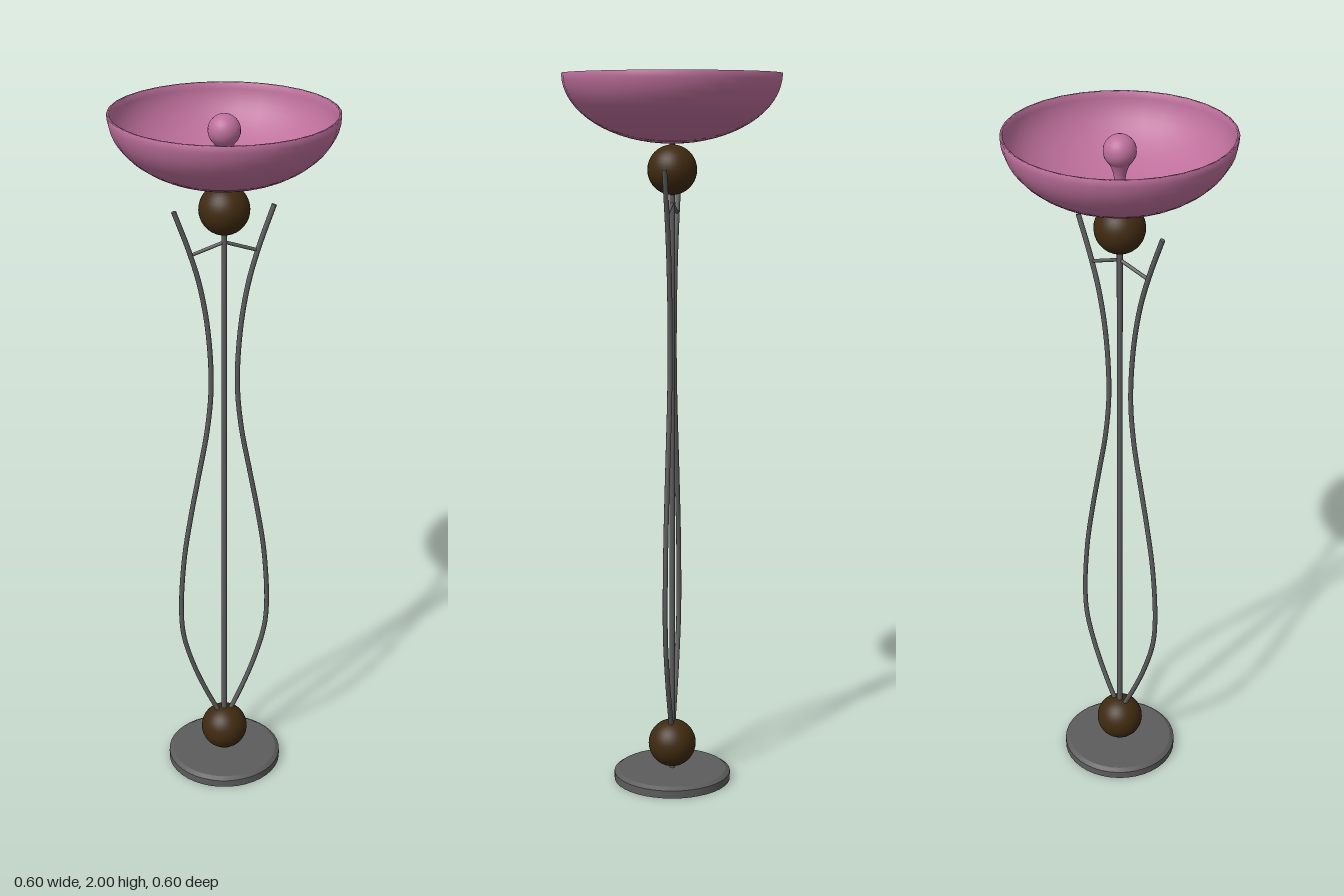
import * as THREE from 'three';

const V2 = (x, y) => new THREE.Vector2(x, y);
const V3 = (x, y, z = 0) => new THREE.Vector3(x, y, z);

export function createModel() {
  const group = new THREE.Group();
  const glass = new THREE.MeshStandardMaterial({ color: 0xbd6f9b, side: THREE.DoubleSide });
  const wood = new THREE.MeshStandardMaterial({ color: 0x3f2a10 });
  const metal = new THREE.MeshStandardMaterial({ color: 0x5c5c5c });

  const add = (name, geometry, material, y = 0) => {
    const mesh = new THREE.Mesh(geometry, material);
    mesh.name = name;
    mesh.position.y = y;
    group.add(mesh);
    return mesh;
  };

  // Disc foot with a small bevel on its upper edge
  const foot = new THREE.CylinderGeometry(0.167, 0.167, 0.022, 40);
  add('base', foot, metal, 0.011);
  add('baseBevel', new THREE.CylinderGeometry(0.155, 0.167, 0.008, 40), metal, 0.026);

  // Wooden balls at both ends of the stem
  add('lowerBall', new THREE.SphereGeometry(0.068, 32, 20), wood, 0.105);
  add('upperBall', new THREE.SphereGeometry(0.068, 32, 20), wood, 1.742);

  // Central stem, also linking foot, balls and bowl
  add('stem', new THREE.CylinderGeometry(0.008, 0.008, 1.79, 12), metal, 0.92);

  // Curved side rods and their braces, mirrored in x
  const rod = [
    [0.012, 0.15], [0.05, 0.23], [0.09, 0.33], [0.121, 0.44], [0.128, 0.53],
    [0.118, 0.7], [0.097, 0.84], [0.073, 0.97], [0.048, 1.11], [0.037, 1.24],
    [0.045, 1.4], [0.066, 1.53], [0.094, 1.63], [0.135, 1.745],
  ];
  for (const [side, s] of [['left', 1], ['right', -1]]) {
    const path = new THREE.CatmullRomCurve3(rod.map(([x, y]) => V3(s * x, y)));
    add(side + 'Rod', new THREE.TubeGeometry(path, 80, 0.007, 10), metal);
    const tip = add(side + 'RodTip', new THREE.CircleGeometry(0.007, 10), metal);
    tip.position.copy(path.getPoint(1));
    tip.lookAt(tip.position.clone().add(path.getTangent(1)));
    const brace = new THREE.LineCurve3(V3(0, 1.652), V3(s * 0.091, 1.622));
    add(side + 'Brace', new THREE.TubeGeometry(brace, 1, 0.005, 8), metal);
  }

  // Thin-walled open bowl: outer curve up, rim, inner curve down
  const profile = [];
  const steps = 16;
  for (let i = 0; i <= steps; i++) {
    const a = (i / steps) * Math.PI / 2;
    profile.push(V2(0.3 * Math.sin(a), 2 - 0.188 * Math.cos(a)));
  }
  for (let i = steps; i >= 0; i--) {
    const a = (i / steps) * Math.PI / 2;
    profile.push(V2(0.293 * Math.sin(a), 2 - 0.181 * Math.cos(a)));
  }
  add('bowl', new THREE.LatheGeometry(profile, 32), glass);

  // Bulb with a narrow neck rising from the bowl floor
  const bulb = [V2(0.014, 1.818), V2(0.014, 1.875), V2(0.017, 1.895), V2(0.025, 1.916)];
  for (let i = 0; i <= 12; i++) {
    const a = -0.85 + (i / 12) * (Math.PI / 2 + 0.85);
    bulb.push(V2(0.043 * Math.cos(a), 1.953 + 0.043 * Math.sin(a)));
  }
  add('bulb', new THREE.LatheGeometry(bulb, 24), glass);

  return group;
}
